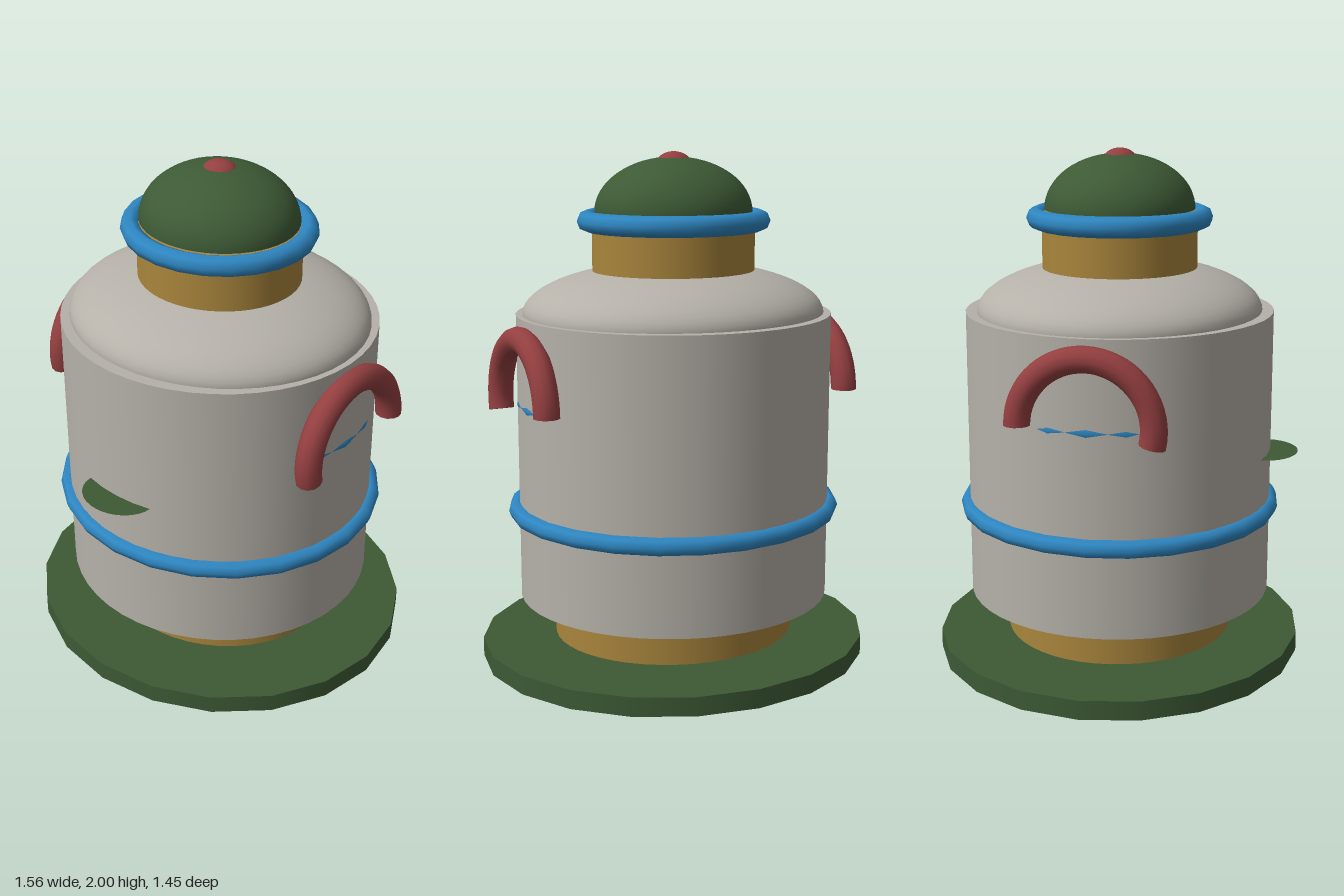
import * as THREE from 'three';
import { mergeGeometries } from 'three/addons/utils/BufferGeometryUtils.js';

const paint = (name, color) => {
  const m = new THREE.MeshStandardMaterial({ color });
  m.name = name;
  return m;
};

export function createModel() {
  const group = new THREE.Group();
  const grey = paint('warm grey', 0xb5b1a9);
  const green = paint('dark green', 0x3d5a35);
  const gold = paint('gold', 0xa9853c);
  const blue = paint('blue', 0x2e86c1);
  const red = paint('red', 0x943f40);

  const add = (name, geometry, material, x = 0, y = 0, z = 0) => {
    const mesh = new THREE.Mesh(geometry, material);
    mesh.name = name;
    mesh.position.set(x, y, z);
    group.add(mesh);
    return mesh;
  };

  // Upright oval drum between two heights
  const drum = (name, material, rx, rz, y0, y1, sides = 48) =>
    add(name, new THREE.CylinderGeometry(1, 1, 1, sides).scale(rx, y1 - y0, rz),
      material, 0, (y0 + y1) / 2);

  // Upper half of an ellipsoid resting on y
  const dome = (name, material, rx, ry, rz, y) =>
    add(name, new THREE.SphereGeometry(1, 48, 16, 0, Math.PI * 2, 0, Math.PI / 2)
      .scale(rx, ry, rz), material, 0, y);

  // Horizontal oval hoop
  const hoop = (name, radius, tube, depth, y) =>
    add(name, new THREE.TorusGeometry(radius, tube, 8, 24).rotateX(Math.PI / 2)
      .scale(1, 1, depth), blue, 0, y);

  // Base, foot and body
  drum('base', green, 0.78, 0.725, 0, 0.075, 20);
  drum('foot', gold, 0.485, 0.45, 0.09, 0.23);
  drum('body', grey, 0.62, 0.6, 0.25, 1.38);
  dome('shoulder', grey, 0.597, 0.195, 0.555, 1.38);

  // Neck, lid and knob
  drum('neck', gold, 0.32, 0.3, 1.5, 1.76);
  dome('lid', green, 0.31, 0.21, 0.29, 1.77);
  dome('knob', red, 0.07, 0.05, 0.066, 1.95);

  // Hoops; the middle one only just breaks the surface at the sides
  hoop('lowerHoop', 0.63, 0.035, 0.955, 0.605);
  hoop('middleHoop', 0.591, 0.035, 0.925, 1.035);
  hoop('upperHoop', 0.34, 0.04, 0.947, 1.737);

  // Flat oval ledge on the front
  add('frontLedge', new THREE.CircleGeometry(1, 32).rotateX(-Math.PI / 2)
    .scale(0.155, 1, 0.13), green, 0, 0.835, 0.58);

  // Arched side handles with closed ends
  const R = 0.25, tube = 0.05, arc = 3.37;
  const handle = mergeGeometries([
    new THREE.TorusGeometry(R, tube, 12, 32, arc),
    new THREE.CircleGeometry(tube, 12).rotateX(Math.PI / 2).translate(R, 0, 0),
    new THREE.CircleGeometry(tube, 12).rotateX(-Math.PI / 2).translate(R, 0, 0).rotateZ(arc),
  ]).rotateY(Math.PI / 2);
  add('leftHandle', handle, red, 0.635, 1.06);
  add('rightHandle', handle, red, -0.635, 1.06);

  return group;
}
